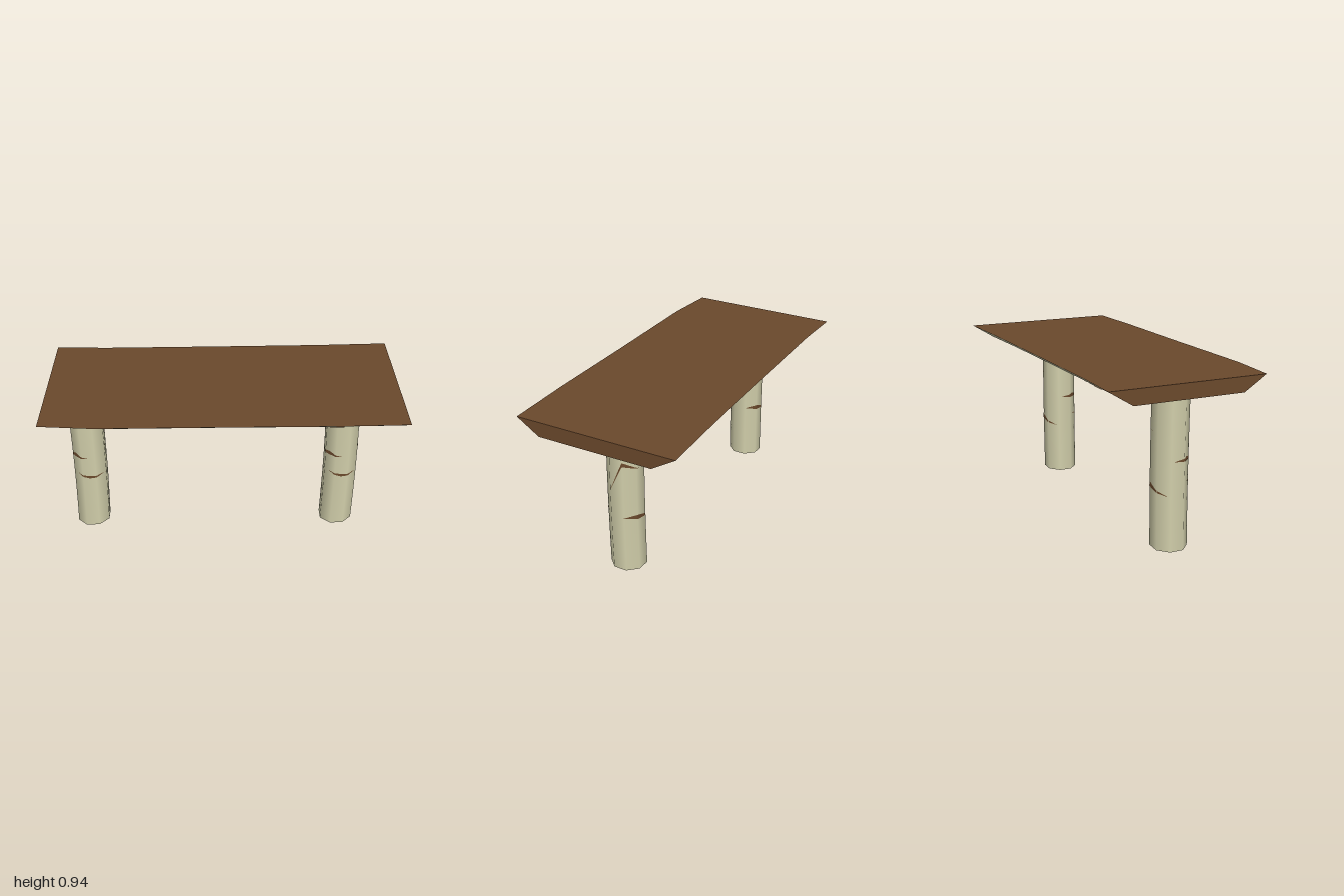
import * as THREE from 'three';

const wood = new THREE.MeshStandardMaterial({ color: 0x6b492c, side: THREE.DoubleSide });
const bark = new THREE.MeshStandardMaterial({ color: 0xd2cfab, side: THREE.DoubleSide });
const TOP = 0.945, UNDER = 0.86, APOTHEM = 0.094, SIDES = 8;

function meshOf(name, points, index, material) {
  const g = new THREE.BufferGeometry();
  g.setAttribute('position', new THREE.Float32BufferAttribute(points.flat(), 3));
  g.setIndex(index);
  g.computeVertexNormals();
  const m = new THREE.Mesh(g, material);
  m.name = name;
  return m;
}

// Joins consecutive rows of equal length with quads
function stitch(rows, across) {
  const index = [];
  for (let i = 0; i < rows - 1; i++) {
    for (let j = 0; j < across - 1; j++) {
      const a = i * across + j, b = a + across;
      index.push(a, b, a + 1, b, b + 1, a + 1);
    }
  }
  return index;
}

// Split-log slab: flat sawn top and ends, bark on the sides and underside
function createSlab() {
  const slab = new THREE.Group();
  slab.name = 'tableTop';
  // x, back edge, front edge
  const outline = [[-1, -0.455, 0.45], [-0.7, -0.446, 0.475], [0, -0.455, 0.47], [0.6, -0.465, 0.47], [1, -0.48, 0.46]];
  const section = ([x, back, front]) => [
    [x, TOP, back], [x, UNDER, back + 0.137], [x, UNDER, front - 0.132], [x, TOP, front],
  ];
  const n = outline.length;
  slab.add(meshOf('slabBark', outline.flatMap(section), stitch(n, 4), bark));

  const topRows = outline.flatMap(([x, back, front]) => [[x, TOP, front], [x, TOP, back]]);
  slab.add(meshOf('slabTop', topRows, stitch(n, 2), wood));
  slab.add(meshOf('slabEndRight', section(outline[0]), [0, 2, 1, 0, 3, 2], wood));
  slab.add(meshOf('slabEndLeft', section(outline[n - 1]), [0, 1, 2, 0, 2, 3], wood));

  // Bark splits: a wedge on the sloped side running into a long point underneath
  const low = UNDER - 0.002;
  const split = (apex, x0, x1, z, tip) => meshOf('slabBarkSplit', [
    [apex[0], TOP - 0.001, apex[1]], [x0, low, z], [x1, low, z], [tip[0], low, tip[1]],
  ], z > 0 ? [0, 1, 2, 1, 3, 2] : [0, 2, 1, 1, 2, 3], wood);
  slab.add(split([0.63, 0.472], 0.58, 0.66, 0.342, [0.65, -0.27]));
  slab.add(split([-0.55, -0.452], -0.62, -0.53, -0.314, [-0.62, 0.31]));
  return slab;
}

// Slight bow of a leg along its height
const bow = (y) => 0.006 * Math.sin((Math.PI * y) / UNDER) - 0.002;

// Point on the eight-sided trunk; angle 0 faces the front
function onTrunk(deg, y, lift) {
  const step = 360 / SIDES;
  const local = ((((deg + step / 2) % step) + step) % step) - step / 2;
  const r = APOTHEM / Math.cos(THREE.MathUtils.degToRad(local)) + lift;
  const a = THREE.MathUtils.degToRad(deg);
  return [Math.sin(a) * r + bow(y), y, Math.cos(a) * r];
}

// Tapering crack that wraps the trunk; path entries: angle, height, half width
function createCrack(path) {
  const points = [], STEPS = 10;
  for (let i = 0; i < path.length - 1; i++) {
    for (let k = i ? 1 : 0; k <= STEPS; k++) {
      const [deg, y, w] = path[i].map((v, c) => THREE.MathUtils.lerp(v, path[i + 1][c], k / STEPS));
      points.push(onTrunk(deg, y - w, 0.002), onTrunk(deg, y + w, 0.002));
    }
  }
  const index = stitch(points.length / 2, 2);
  return meshOf('barkCrack', points, index, wood);
}

function createLeg(name, x) {
  const leg = new THREE.Group();
  leg.name = name;
  const radius = APOTHEM / Math.cos(Math.PI / SIDES);
  const cut = (px) => 0.005 + 0.04 * px; // slanted saw cut at the foot

  const trunk = new THREE.CylinderGeometry(radius, radius, UNDER, SIDES, 6, true, Math.PI / SIDES);
  trunk.translate(0, UNDER / 2, 0);
  const p = trunk.attributes.position;
  for (let i = 0; i < p.count; i++) {
    const y = p.getY(i);
    if (y < 0.001) p.setY(i, cut(p.getX(i)));
    p.setX(i, p.getX(i) + bow(y));
  }
  const trunkMesh = new THREE.Mesh(trunk, bark);
  trunkMesh.name = 'trunk';

  const foot = new THREE.CircleGeometry(radius, SIDES, Math.PI / SIDES);
  foot.rotateX(Math.PI / 2);
  const f = foot.attributes.position;
  for (let i = 0; i < f.count; i++) {
    f.setY(i, cut(f.getX(i)));
    f.setX(i, f.getX(i) + bow(0));
  }
  foot.computeVertexNormals();
  const footMesh = new THREE.Mesh(foot, wood);
  footMesh.name = 'foot';

  leg.add(trunkMesh, footMesh);
  const cracks = [
    [[64, 0.505, 0], [112, 0.69, 0.012], [172, 0.65, 0]],
    [[113, 0.358, 0], [158, 0.355, 0.014], [240, 0.31, 0]],
    [[-52, 0.382, 0], [0, 0.363, 0.009], [62, 0.372, 0]],
    [[-105, 0.5, 0], [-50, 0.505, 0.012], [0, 0.495, 0]],
  ];
  cracks.forEach((c) => leg.add(createCrack(c)));
  leg.position.x = x;
  return leg;
}

export function createModel() {
  const table = new THREE.Group();
  table.name = 'logTable';
  table.add(createSlab(), createLeg('rightLeg', -0.8), createLeg('leftLeg', 0.7));
  return table;
}
